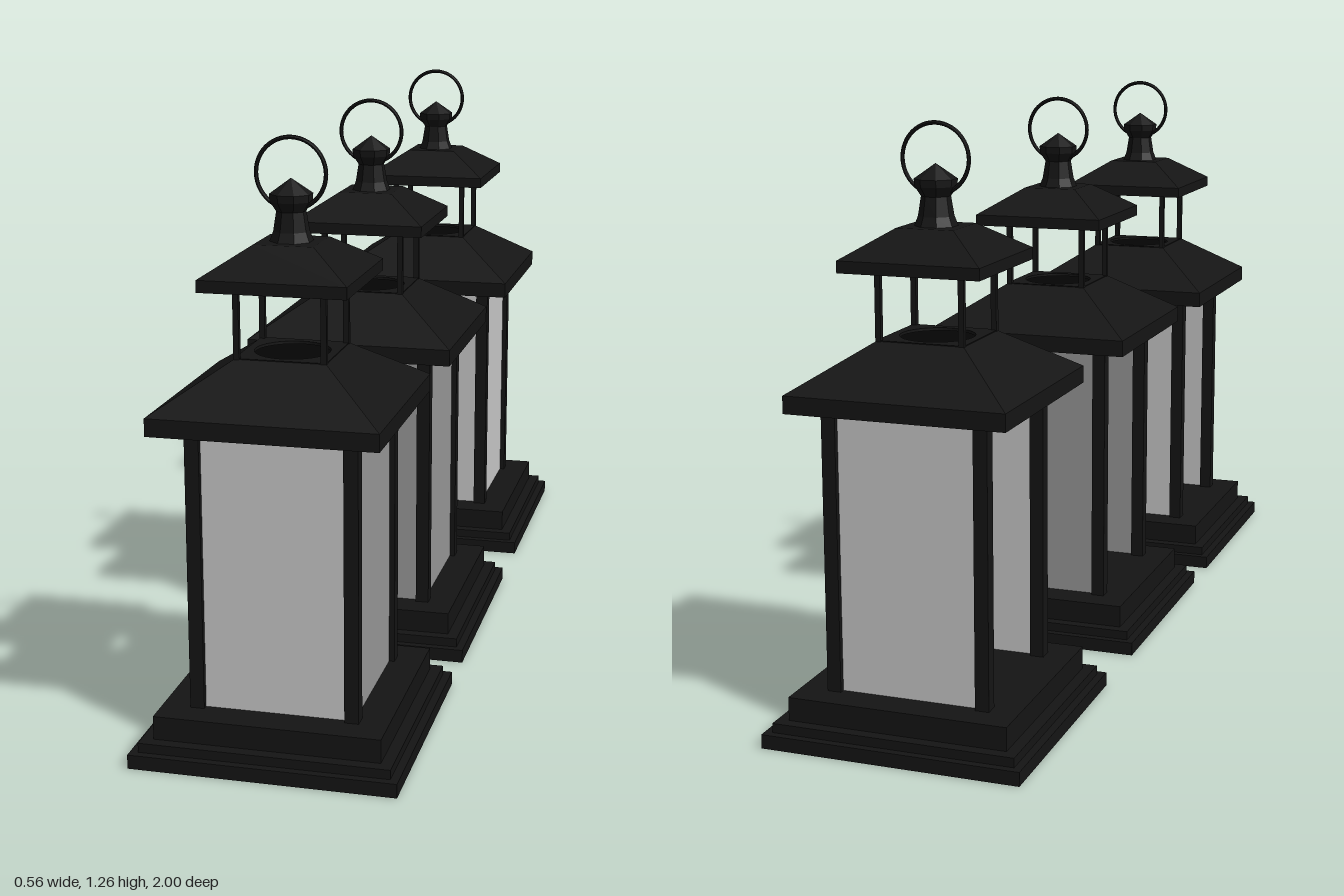
import * as THREE from 'three';

const black = new THREE.MeshStandardMaterial({ color: 0x151515, flatShading: true, side: THREE.DoubleSide });
const paleGlass = new THREE.MeshStandardMaterial({ color: 0xcccccc, side: THREE.DoubleSide });
const darkGlass = new THREE.MeshStandardMaterial({ color: 0x9a9a9a, side: THREE.DoubleSide });
const wax = new THREE.MeshStandardMaterial({ color: 0xcccccc });

function add(parent, name, geometry, material, x = 0, y = 0, z = 0) {
  const mesh = new THREE.Mesh(geometry, material);
  mesh.name = name;
  mesh.position.set(x, y, z);
  parent.add(mesh);
  return mesh;
}

// Turned profile of [half width, height] pairs; four sides give a square section
function turned(profile, sides) {
  const k = 1 / Math.cos(Math.PI / sides);
  const points = profile.map(([r, y]) => new THREE.Vector2(r * k, y));
  return new THREE.LatheGeometry(points, sides, Math.PI / sides);
}

// Four upright posts at the corners of a square
function posts(parent, name, spread, width, y0, y1) {
  const geometry = new THREE.BoxGeometry(width, y1 - y0, width);
  for (const sx of [-1, 1])
    for (const sz of [-1, 1])
      add(parent, name, geometry, black, sx * spread, (y0 + y1) / 2, sz * spread);
}

// Glass order: front, right side, back; the fourth side is open
function lantern(glass) {
  const group = new THREE.Group();
  group.name = 'lantern';

  // Stepped base
  for (const [half, y0, y1] of [[0.28, 0, 0.03], [0.263, 0.03, 0.05], [0.238, 0.05, 0.1]])
    add(group, 'baseStep', new THREE.BoxGeometry(half * 2, y1 - y0, half * 2), black, 0, (y0 + y1) / 2, 0);

  // Body frame, panes and candle
  posts(group, 'cornerPost', 0.163, 0.03, 0.1, 0.7);
  const pane = new THREE.BoxGeometry(0.3, 0.595, 0.006);
  glass.forEach((material, i) => {
    const angle = i * Math.PI / 2;
    const mesh = add(group, 'glassPane', pane, material, Math.sin(angle) * 0.163, 0.3975, Math.cos(angle) * 0.163);
    mesh.rotation.y = angle;
  });
  add(group, 'candle', new THREE.CylinderGeometry(0.065, 0.065, 0.015, 24), wax, 0, 0.1075, 0);

  const top = new THREE.Group();
  top.name = 'top';
  top.position.z = 0.007;
  group.add(top);

  // Main roof, hollow, with a round vent in its flat top
  add(top, 'mainRoof', turned([[0.155, 0.693], [0.236, 0.693], [0.236, 0.73], [0.095, 0.823]], 4), black);
  const plate = new THREE.Shape([[-1, -1], [1, -1], [1, 1], [-1, 1]]
    .map(([x, y]) => new THREE.Vector2(x * 0.095, y * 0.095)));
  plate.holes.push(new THREE.Path().absarc(0, 0, 0.078, 0, Math.PI * 2, true));
  const vent = new THREE.ExtrudeGeometry(plate, { depth: 0.006, bevelEnabled: false, curveSegments: 24 });
  vent.rotateX(-Math.PI / 2);
  add(top, 'ventPlate', vent, black, 0, 0.819, 0);

  // Raised cap on slim posts
  posts(top, 'capPost', 0.09, 0.012, 0.82, 0.97);
  add(top, 'capRoof', turned([[0, 0.967], [0.152, 0.967], [0.152, 0.992], [0.062, 1.05], [0, 1.05]], 4), black);

  // Finial and carrying ring
  add(top, 'finial', turned([[0.043, 1.045], [0.034, 1.07], [0.028, 1.11], [0.04, 1.13], [0.041, 1.145], [0, 1.176]], 8), black);
  add(top, 'carryRing', new THREE.TorusGeometry(0.072, 0.0045, 8, 48), black, 0, 1.185, 0);
  return group;
}

export function createModel() {
  const model = new THREE.Group();
  model.name = 'lanternSet';
  const sets = [
    [0.72, [paleGlass, darkGlass, paleGlass]],
    [0.035, [darkGlass, darkGlass, darkGlass]],
    [-0.72, [paleGlass, paleGlass, paleGlass]],
  ];
  for (const [z, glass] of sets) {
    const item = lantern(glass);
    item.position.z = z;
    model.add(item);
  }
  return model;
}
